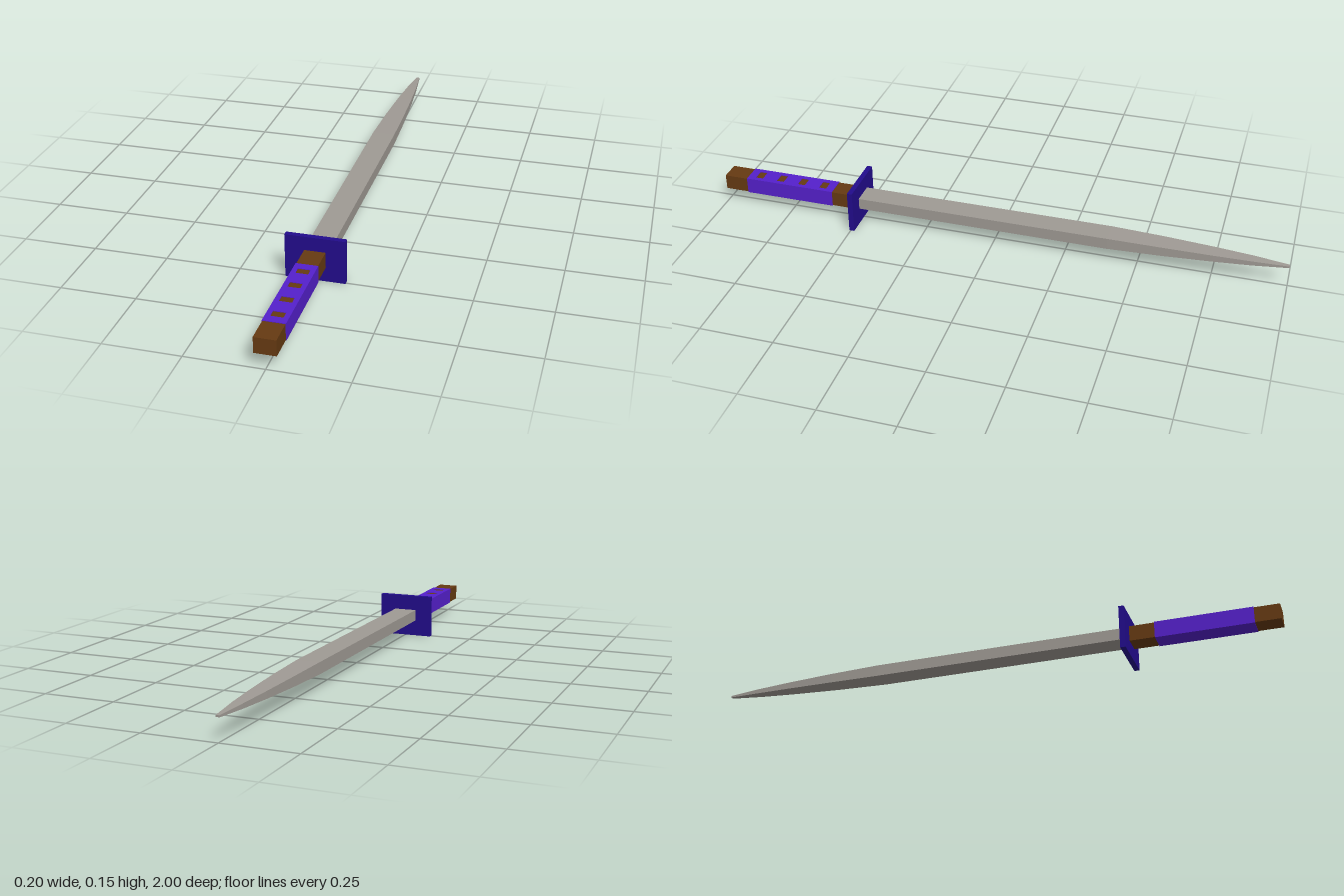
import * as THREE from 'three';

const MID_Y = 0.077;

const paint = (color) => new THREE.MeshStandardMaterial({ color, flatShading: true });

export function createModel() {
  const model = new THREE.Group();
  const steel = paint(0x9f9a94);
  const wood = paint(0x663a12);
  const navy = paint(0x220c8c);
  const purple = paint(0x5520cc);

  const add = (name, geometry, material, parent = model) => {
    const mesh = new THREE.Mesh(geometry, material);
    mesh.name = name;
    parent.add(mesh);
    return mesh;
  };
  const box = (name, material, w, h, d, x, y, z, parent) =>
    add(name, new THREE.BoxGeometry(w, h, d), material, parent).position.set(x, y, z);

  // Blade: a long bar whose cross-sections taper to the tip [z, half width, half height]
  const sections = [
    [0.5, 0.04, 0.02], [-0.4, 0.04, 0.02], [-0.58, 0.035, 0.0165],
    [-0.75, 0.027, 0.012], [-0.88, 0.018, 0.008], [-1, 0.006, 0.003],
  ];
  const steps = sections.length - 1;
  const bladeGeometry = new THREE.BoxGeometry(2, 2, steps, 1, 1, steps);
  const p = bladeGeometry.attributes.position;
  for (let i = 0; i < p.count; i++) {
    const [z, w, h] = sections[Math.round(steps / 2 - p.getZ(i))];
    p.setXYZ(i, p.getX(i) * w, MID_Y + p.getY(i) * h, z);
  }
  bladeGeometry.computeVertexNormals();
  add('blade', bladeGeometry, steel);

  // Guard plate and wooden grip
  box('guard', navy, 0.196, 0.15, 0.018, 0, 0.075, 0.496);
  box('grip', wood, 0.069, 0.053, 0.5, 0, MID_Y - 0.0005, 0.75);

  // Grip wrap: thin sides and underside, with a windowed strip on top
  const wrap = new THREE.Group();
  wrap.name = 'gripWrap';
  model.add(wrap);
  const length = 0.326, centreZ = 0.753, thick = 0.003, half = 0.036;
  const bottom = 0.048, top = 0.105;
  for (const side of [-1, 1]) {
    box(side > 0 ? 'leftWrap' : 'rightWrap', purple, thick, top - bottom - 2 * thick, length,
      side * (half - thick / 2), (top + bottom) / 2, centreZ, wrap);
  }
  box('lowerWrap', purple, 2 * half, thick, length, 0, bottom + thick / 2, centreZ, wrap);

  const rect = (target, w, d, y) => target
    .moveTo(-w, y - d).lineTo(w, y - d).lineTo(w, y + d).lineTo(-w, y + d).closePath();
  const strip = rect(new THREE.Shape(), half, length / 2, 0);
  for (let i = 0; i < 4; i++) {
    strip.holes.push(rect(new THREE.Path(), 0.02, 0.0135, (i - 1.5) * 0.081));
  }
  const stripGeometry = new THREE.ExtrudeGeometry(strip, { depth: thick, bevelEnabled: false });
  stripGeometry.rotateX(-Math.PI / 2);
  add('windowedWrap', stripGeometry, purple, wrap).position.set(0, top - thick, centreZ);

  return model;
}
